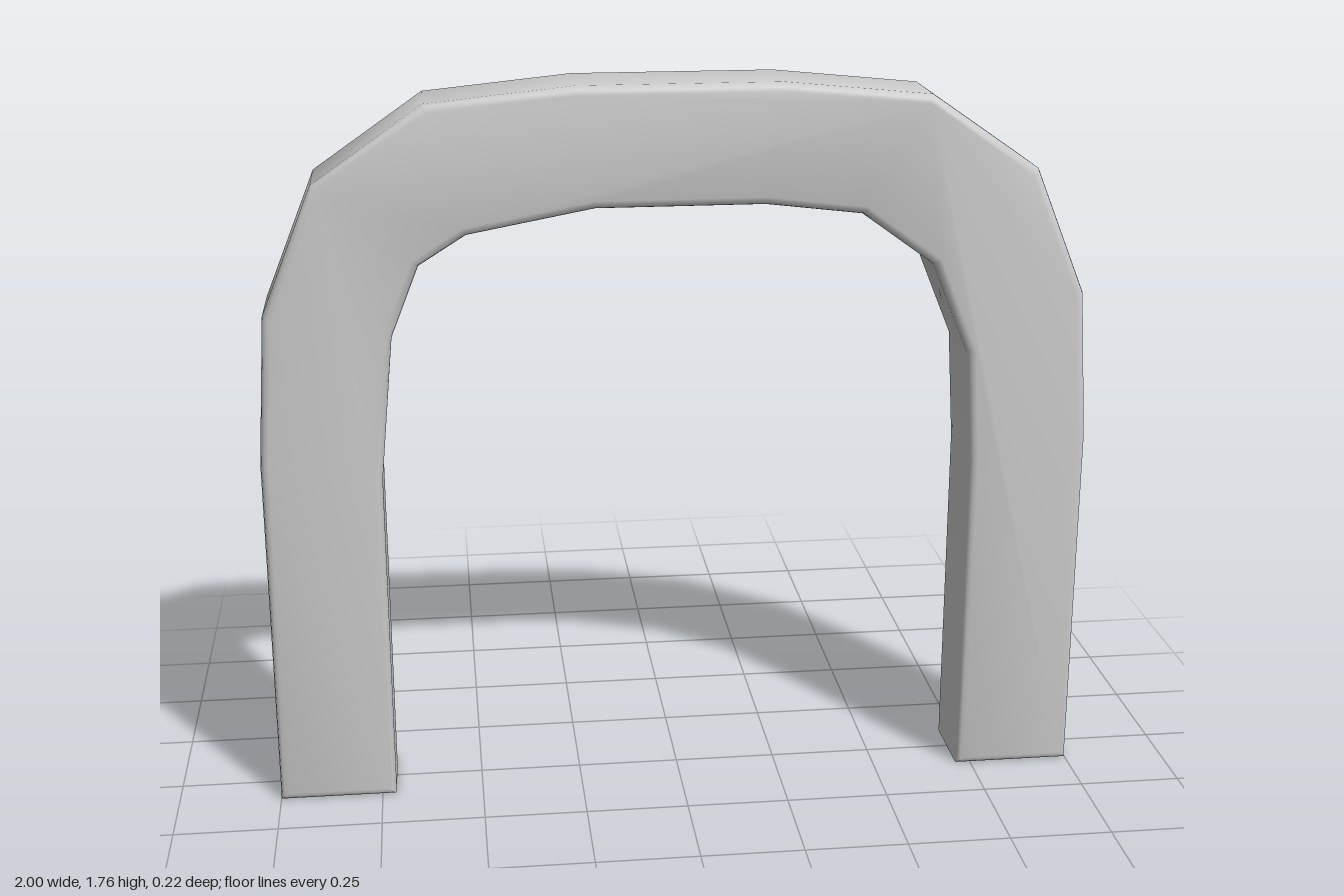
import * as THREE from 'three';
import { toCreasedNormals } from 'three/addons/utils/BufferGeometryUtils.js';

export function createModel() {
  const group = new THREE.Group();
  group.name = 'archway';

  // Outer outline: left half, mirrored to the right
  const half = [[-1, 0], [-1, 0.88], [-0.975, 1.24], [-0.85, 1.545], [-0.59, 1.725], [-0.24, 1.76]];
  const outer = [...half, ...half.map(([x, y]) => [-x, y]).reverse()];

  // Inner outline, slightly uneven, from the right foot to the left foot
  const inner = [
    [0.712, 0], [0.712, 0.83], [0.695, 1.1], [0.605, 1.32], [0.43, 1.447], [0.2, 1.475],
    [-0.2, 1.475], [-0.5, 1.42], [-0.612, 1.35], [-0.68, 1.18], [-0.715, 0.83], [-0.715, 0],
  ];
  const shape = new THREE.Shape([...outer, ...inner].map(([x, y]) => new THREE.Vector2(x, y)));

  // Extruded arch with small rounded edges
  const depth = 0.22, bevel = 0.02;
  const geometry = new THREE.ExtrudeGeometry(shape, {
    depth: depth - 2 * bevel,
    bevelThickness: bevel,
    bevelSize: bevel,
    bevelOffset: -bevel,
    bevelSegments: 3,
  });
  geometry.translate(0, 0, bevel - depth / 2);

  const arch = new THREE.Mesh(
    toCreasedNormals(geometry, 0.65),
    new THREE.MeshStandardMaterial({ color: 0xcccccc }),
  );
  arch.name = 'arch';
  group.add(arch);
  return group;
}
